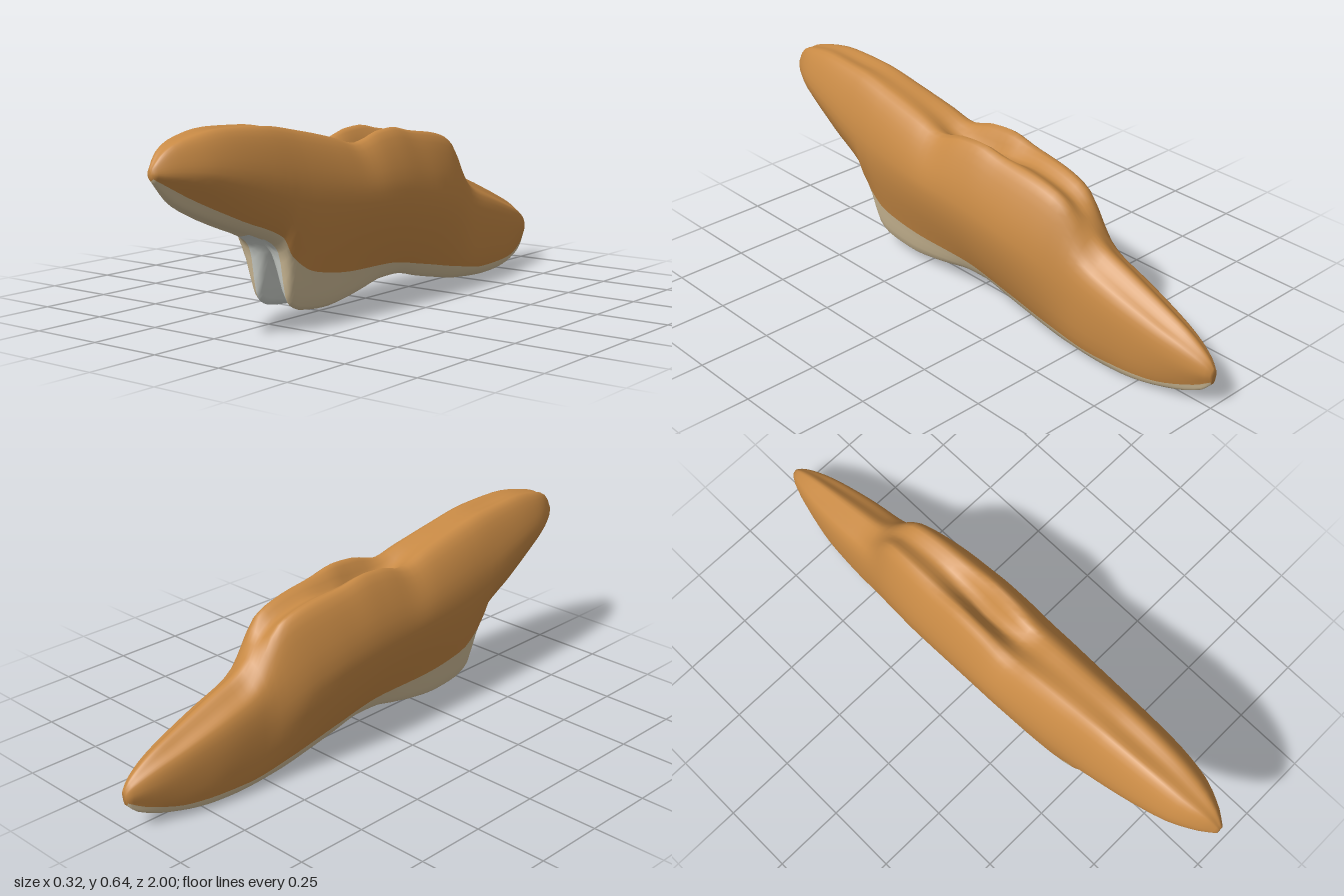
import * as THREE from 'three';

// Monotone cubic interpolation through [z, value] pairs sorted by rising z.
function profile(...pts) {
  const slope = pts.slice(1).map((p, i) => (p[1] - pts[i][1]) / (p[0] - pts[i][0]));
  const tan = pts.map((p, i) => {
    const a = slope[i - 1], b = slope[i];
    if (a === undefined) return b;
    if (b === undefined) return a;
    return a * b <= 0 ? 0 : 2 * a * b / (a + b);
  });
  return z => {
    let i = 0;
    while (i < pts.length - 2 && z > pts[i + 1][0]) i++;
    const h = pts[i + 1][0] - pts[i][0];
    const s = THREE.MathUtils.clamp((z - pts[i][0]) / h, 0, 1), q = 1 - s;
    return q * q * (1 + 2 * s) * pts[i][1] + s * s * (3 - 2 * s) * pts[i + 1][1]
      + h * (s * q * q * tan[i] - s * s * q * tan[i + 1]);
  };
}

// Outline of the back
const top = profile([-1, 0.145], [-0.98, 0.17], [-0.9, 0.225], [-0.8, 0.27], [-0.65, 0.33], [-0.55, 0.37],
  [-0.5, 0.405], [-0.45, 0.465], [-0.4, 0.515], [-0.3, 0.545], [-0.15, 0.565], [-0.05, 0.583], [0.03, 0.577],
  [0.15, 0.547], [0.25, 0.57], [0.4, 0.6], [0.58, 0.63], [0.74, 0.636], [0.9, 0.612], [0.96, 0.585], [1, 0.54]);
// Outline of the underside
const bottom = profile([-1, 0.09], [-0.97, 0.06], [-0.88, 0.028], [-0.75, 0.008], [-0.62, 0], [-0.45, 0.01],
  [-0.3, 0.035], [-0.2, 0.055], [-0.08, 0.08], [0, 0.078], [0.1, 0.058], [0.2, 0.04], [0.3, 0.03], [0.42, 0.04],
  [0.475, 0.065], [0.495, 0.11], [0.507, 0.19], [0.525, 0.245], [0.56, 0.275], [0.7, 0.33], [0.8, 0.37],
  [0.92, 0.43], [1, 0.505]);
// Height of the middle groove under the belly
const groove = profile([-1, 0.09], [-0.97, 0.065], [-0.8, 0.022], [-0.6, 0.015], [-0.45, 0.035], [-0.3, 0.07],
  [-0.1, 0.12], [0.1, 0.14], [0.3, 0.155], [0.45, 0.2], [0.51, 0.25], [0.56, 0.285], [0.7, 0.335], [0.92, 0.43], [1, 0.505]);
// Hollow along the middle of the back; negative makes a central crest
const hollow = profile([-1, -0.005], [-0.8, -0.025], [-0.55, -0.03], [-0.47, -0.01], [-0.42, 0.025], [-0.25, 0.025],
  [-0.1, 0.06], [-0.02, 0.088], [0.05, 0.075], [0.13, 0.035], [0.22, 0.01], [0.4, 0], [0.65, 0.007], [0.85, 0], [1, 0]);
// Half width and the height where it is reached
const width = profile([-1, 0.015], [-0.97, 0.033], [-0.9, 0.058], [-0.8, 0.08], [-0.65, 0.1], [-0.5, 0.11],
  [-0.45, 0.121], [-0.35, 0.143], [-0.2, 0.158], [0, 0.162], [0.15, 0.161], [0.3, 0.155], [0.5, 0.142],
  [0.7, 0.123], [0.85, 0.095], [0.95, 0.05], [1, 0.014]);
const middle = profile([-1, 0.12], [-0.7, 0.17], [-0.5, 0.21], [-0.3, 0.29], [0, 0.345], [0.3, 0.37], [0.5, 0.4],
  [0.7, 0.46], [0.9, 0.51], [1, 0.522]);
// Colour edge along the flank
const edgeY = profile([-1, 0.1], [-0.95, 0.075], [-0.8, 0.04], [-0.6, 0.035], [-0.4, 0.062], [-0.2, 0.1], [0, 0.132],
  [0.2, 0.137], [0.4, 0.165], [0.5, 0.225], [0.54, 0.29], [0.7, 0.358], [0.9, 0.45], [1, 0.51]);
const edgeX = profile([-1, 0.011], [-0.9, 0.045], [-0.7, 0.085], [-0.4, 0.098], [0, 0.1], [0.4, 0.108], [0.5, 0.102],
  [0.6, 0.092], [0.8, 0.062], [0.93, 0.036], [1, 0.009]);
// Distance of the paired lower lobes from the middle
const lobeX = profile([-1, 0.005], [-0.9, 0.032], [-0.7, 0.064], [0, 0.062], [0.4, 0.064], [0.5, 0.06],
  [0.65, 0.05], [0.85, 0.03], [1, 0.004]);

const STEPS = 4, SEGMENTS = 12, RING = STEPS * SEGMENTS;

// One closed cross-section, running from the spine around the left side
function section(z) {
  const t = top(z), d = hollow(z), w = width(z), m = middle(z);
  const half = [
    [0.42 * w, t + Math.min(d, 0)],
    [0.8 * w, m + 0.62 * (t - m)],
    [w, m],
    [edgeX(z), edgeY(z)],
    [lobeX(z), bottom(z)],
  ];
  const loop = [[0, t - Math.max(d, 0)], ...half, [0, groove(z)],
    ...half.slice().reverse().map(([x, y]) => [-x, y])];
  const curve = new THREE.CatmullRomCurve3(loop.map(([x, y]) => new THREE.Vector3(x, y, z)), true, 'centripetal');
  return Array.from({ length: RING }, (_, i) => curve.getPoint(i / RING));
}

function buildBody() {
  // Rings from nose to tail, closer together at the ends and the front lobes
  const zs = [1, 0.99, 0.975, 0.955, 0.93];
  for (let z = 0.9; z > 0.57; z -= 0.04) zs.push(z);
  for (let z = 0.56; z > 0.445; z -= 0.01) zs.push(z);
  for (let z = 0.43; z > -0.93; z -= 0.03) zs.push(z);
  zs.push(-0.95, -0.97, -0.985, -1);

  const positions = [];
  const faces = [[], [], []];
  for (const z of zs) for (const p of section(z)) positions.push(p.x, p.y, p.z);

  // 0 is the coat, 1 the pale flank and chin, 2 the inner belly
  const colourOf = (j, z) => {
    const s = Math.floor(j / STEPS);
    if (s < 4 || s > 7) return 0;
    return (s === 5 || s === 6) && z > -0.1 && z < 0.58 ? 2 : 1;
  };
  for (let i = 0; i < zs.length - 1; i++) {
    for (let j = 0; j < RING; j++) {
      const k = (j + 1) % RING;
      const a = i * RING + j, b = i * RING + k, c = a + RING, d = b + RING;
      faces[colourOf(j, zs[i])].push(a, b, c, b, d, c);
    }
  }
  // Rounded off nose and tail tips
  const nose = positions.length / 3, tail = nose + 1, last = (zs.length - 1) * RING;
  positions.push(0, 0.522, 1, 0, 0.118, -1);
  for (let j = 0; j < RING; j++) {
    const k = (j + 1) % RING;
    faces[0].push(nose, k, j, tail, last + j, last + k);
  }

  const geometry = new THREE.BufferGeometry();
  geometry.setAttribute('position', new THREE.Float32BufferAttribute(positions, 3));
  geometry.setIndex(faces.flat());
  let start = 0;
  faces.forEach((f, i) => {
    geometry.addGroup(start, f.length, i);
    start += f.length;
  });
  geometry.computeVertexNormals();
  return geometry;
}

export function createModel() {
  const coat = new THREE.MeshStandardMaterial({ color: 0xc88a45 });
  coat.name = 'orange coat';
  const cream = new THREE.MeshStandardMaterial({ color: 0xd6c29c });
  cream.name = 'cream flank';
  const white = new THREE.MeshStandardMaterial({ color: 0xd4d8d2 });
  white.name = 'white belly';

  const group = new THREE.Group();
  group.name = 'model';
  const body = new THREE.Mesh(buildBody(), [coat, cream, white]);
  body.name = 'body';
  group.add(body);
  return group;
}
